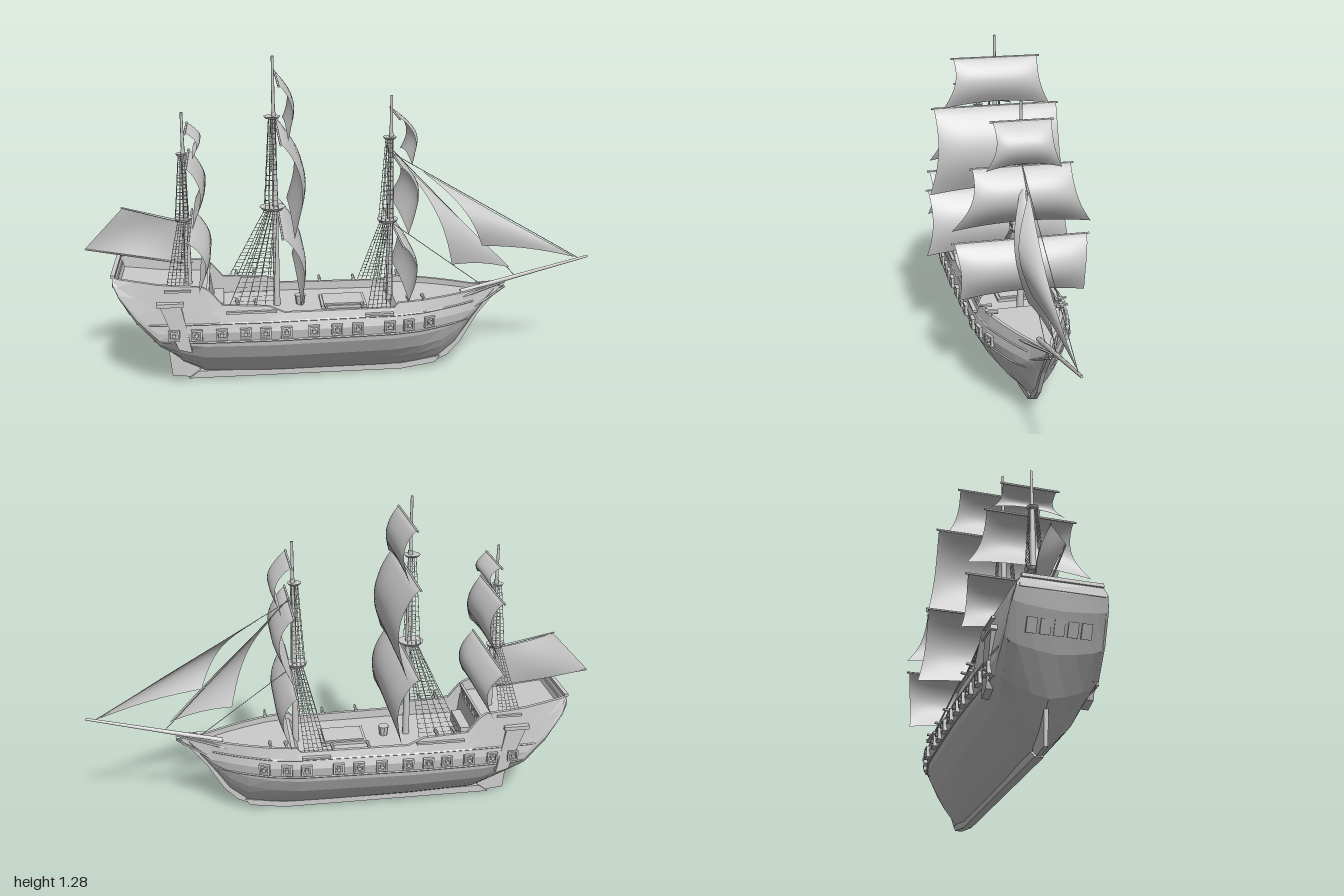
import * as THREE from 'three';
import { ParametricGeometry } from 'three/addons/geometries/ParametricGeometry.js';
import { mergeGeometries } from 'three/addons/utils/BufferGeometryUtils.js';

const flat = new THREE.MeshStandardMaterial({ color: 0xcccccc, flatShading: true });
const smooth = new THREE.MeshStandardMaterial({ color: 0xcccccc });
const cloth = new THREE.MeshStandardMaterial({ color: 0xcccccc, side: THREE.DoubleSide });
const V = (x, y, z) => new THREE.Vector3(x, y, z);
const { lerp, clamp } = THREE.MathUtils;

// hull stations: x, keel y, rail y, half breadth
const stations = [
  [-0.88, 0.445, 0.485, 0.15], [-0.862, 0.39, 0.48, 0.158], [-0.80, 0.27, 0.47, 0.166],
  [-0.72, 0.155, 0.457, 0.174], [-0.64, 0.07, 0.45, 0.18], [-0.55, 0.025, 0.445, 0.184],
  [-0.525, 0.022, 0.43, 0.185], [-0.515, 0.022, 0.42, 0.185], [-0.475, 0.02, 0.37, 0.187],
  [-0.3, 0.013, 0.36, 0.19], [-0.24, 0.012, 0.332, 0.19], [0.185, 0.012, 0.33, 0.18],
  [0.2, 0.013, 0.348, 0.178], [0.3, 0.02, 0.347, 0.158], [0.39, 0.04, 0.346, 0.122],
  [0.46, 0.1, 0.345, 0.088], [0.53, 0.21, 0.344, 0.048], [0.62, 0.335, 0.35, 0.008]];

function stationAt(x) {
  let i = 0;
  while (i < stations.length - 2 && stations[i + 1][0] < x) i++;
  const a = stations[i], b = stations[i + 1];
  const t = clamp((x - a[0]) / (b[0] - a[0]), 0, 1);
  const [, keel, rail, wide] = a.map((v, k) => lerp(v, b[k], t));
  const level = x < -0.52 ? rail - 0.045 : x < 0.19 ? 0.298 : 0.323;
  return {
    keel, rail, wide, railWide: wide * 0.9,
    wideY: Math.max(0.265, lerp(keel, rail, 0.35)),
    fullness: x < 0 ? 2 + 2 * clamp((-0.64 - x) / 0.16, 0, 1) : 2 - 0.8 * x,
    deck: x < -0.87 ? rail - 0.001 : Math.min(level, rail - 0.001),
  };
}
function halfBreadth(x, y) {
  const s = stationAt(x);
  if (y >= s.wideY) return lerp(s.wide, s.railWide, Math.min(1, (y - s.wideY) / (s.rail - s.wideY)));
  return s.wide * (1 - Math.pow(1 - Math.max(0, (y - s.keel) / (s.wideY - s.keel)), s.fullness));
}

// closed loft: outer planking, rail cap, inner bulwark and deck
function hullGeometry() {
  const rings = stations.map(([x]) => {
    const s = stationAt(x);
    const side = [0, 0.12, 0.3, 0.5, 0.75, 1].map(t => lerp(s.keel, s.wideY, t))
      .concat((s.wideY + s.rail) / 2, s.rail).map(y => [halfBreadth(x, y), y]);
    const inner = Math.max(0.002, s.railWide - 0.014);
    side.push([inner, s.rail], [inner, s.deck], [0, s.deck]);
    const mirror = side.slice(1, -1).reverse().map(([z, y]) => [-z, y]);
    return side.concat(mirror).map(([z, y]) => V(x, y, z));
  });
  const n = rings[0].length, pos = [];
  const tri = (...ps) => ps.forEach(p => pos.push(p.x, p.y, p.z));
  for (let i = 0; i < rings.length - 1; i++) for (let j = 0; j < n; j++) {
    const k = (j + 1) % n, a = rings[i][j], b = rings[i + 1][j], c = rings[i + 1][k], d = rings[i][k];
    tri(a, b, c); tri(a, c, d);
  }
  const sternMid = V(-0.882, 0.465, 0), bowMid = V(0.622, 0.342, 0);
  for (let j = 0; j < n; j++) {
    const k = (j + 1) % n;
    tri(sternMid, rings[0][j], rings[0][k]);
    tri(bowMid, rings.at(-1)[k], rings.at(-1)[j]);
  }
  const g = new THREE.BufferGeometry();
  g.setAttribute('position', new THREE.Float32BufferAttribute(pos, 3));
  g.computeVertexNormals();
  return g;
}

function rodGeometry(a, b, r0, r1 = r0, sides = 8) {
  const g = new THREE.CylinderGeometry(r1, r0, a.distanceTo(b), sides);
  g.applyQuaternion(new THREE.Quaternion().setFromUnitVectors(V(0, 1, 0), b.clone().sub(a).normalize()));
  return g.translate((a.x + b.x) / 2, (a.y + b.y) / 2, (a.z + b.z) / 2);
}

export function createModel() {
  const ship = new THREE.Group();
  ship.name = 'sailingShip';
  const add = (name, geo, mat = flat, parent = ship) => {
    const m = new THREE.Mesh(geo, mat);
    m.name = name;
    parent.add(m);
    return m;
  };
  const box = (name, w, h, d, x, y, z, parent = ship) => {
    const m = add(name, new THREE.BoxGeometry(w, h, d), flat, parent);
    m.position.set(x, y, z);
    return m;
  };
  const plate = (name, pts, depth, z) => {
    const shape = new THREE.Shape(pts.map(p => new THREE.Vector2(...p)));
    add(name, new THREE.ExtrudeGeometry(shape, { depth, bevelEnabled: false })).position.z = z;
  };

  // hull, keel, stem and rudder
  add('hull', hullGeometry());
  plate('keel', [[-0.62, 0], [0.24, 0], [0.38, 0.022], [0.4, 0.05], [0.24, 0.025], [-0.58, 0.03]], 0.03, -0.015);
  plate('stem', [[0.37, 0.022], [0.43, 0.05], [0.485, 0.11], [0.55, 0.225], [0.645, 0.345],
    [0.6, 0.345], [0.52, 0.21], [0.45, 0.1], [0.38, 0.045]], 0.016, -0.008);
  plate('rudder', [[-0.685, 0.012], [-0.57, 0], [-0.58, 0.06], [-0.7, 0.16]], 0.014, -0.007);

  for (const s of [1, -1]) {
    // wales along the planking
    for (const [y, x0, x1] of [[0.225, -0.74, 0.5], [0.3, -0.8, 0.52]]) {
      const pts = [];
      for (let i = 0; i <= 24; i++) {
        const x = lerp(x0, x1, i / 24);
        pts.push(V(x, y, s * halfBreadth(x, y)));
      }
      add('wale', new THREE.TubeGeometry(new THREE.CatmullRomCurve3(pts), 48, 0.0035, 4));
    }
    // gun ports with frame and muzzle
    for (const x of [-0.66, -0.575, -0.48, -0.39, -0.315, -0.235, -0.13, -0.04, 0.04, 0.165, 0.24, 0.325]) {
      const port = new THREE.Group();
      port.name = 'gunPort';
      const slope = (halfBreadth(x + 0.02, 0.26) - halfBreadth(x - 0.02, 0.26)) / 0.04;
      port.position.set(x, 0.26, s * halfBreadth(x, 0.26));
      port.rotation.y = -s * Math.atan(slope);
      for (const k of [-1, 1]) {
        box('portFrame', 0.042, 0.007, 0.02, 0, k * 0.018, 0, port);
        box('portFrame', 0.007, 0.042, 0.02, k * 0.018, 0, 0, port);
      }
      add('cannon', new THREE.CylinderGeometry(0.008, 0.008, 0.03, 8), flat, port).rotation.x = Math.PI / 2;
      ship.add(port);
    }
    // quarter gallery
    plate('quarterGallery', [[-0.71, 0.38], [-0.645, 0.2], [-0.595, 0.185], [-0.63, 0.38]], 0.035, s > 0 ? 0.146 : -0.181);
    box('galleryCap', 0.1, 0.015, 0.04, -0.67, 0.382, s * 0.167);
    // head rails beside the stem
    for (const [y0, z0, y1] of [[0.325, 0.07, 0.36], [0.24, 0.06, 0.34]])
      add('headRail', rodGeometry(V(0.47, y0, s * z0), V(0.66, y1, s * 0.006), 0.006, 0.004, 5));
    // swivel guns on the rail
    for (const x of [-0.42, -0.35, -0.08, 0.06, 0.24, 0.3]) {
      const { rail, railWide: w } = stationAt(x);
      add('swivelGun', rodGeometry(V(x, rail + 0.012, s * (w - 0.03)), V(x, rail + 0.016, s * (w + 0.015)), 0.008, 0.005, 6));
      add('swivelPost', rodGeometry(V(x, rail - 0.005, s * (w - 0.007)), V(x, rail + 0.012, s * (w - 0.007)), 0.003, 0.003, 5));
    }
  }

  // stern windows and mouldings
  for (let i = -2; i <= 2; i++) box('sternWindow', 0.014, 0.05, 0.034, -0.834, 0.345, i * 0.045).rotation.z = 0.45;
  box('sternMoulding', 0.016, 0.012, 0.28, -0.875, 0.455, 0);
  box('sternRail', 0.016, 0.012, 0.27, -0.88, 0.487, 0);

  // deck fittings
  box('hatch', 0.18, 0.014, 0.13, 0, 0.302, 0);
  box('hatchCover', 0.16, 0.01, 0.11, 0, 0.31, 0);
  box('companionway', 0.04, 0.05, 0.16, -0.49, 0.32, 0);
  box('deckRail', 0.01, 0.01, 0.31, -0.528, 0.425, 0);
  for (let i = -5; i <= 5; i++) box('railPost', 0.005, 0.04, 0.005, -0.528, 0.405, i * 0.027);
  add('capstan', new THREE.CylinderGeometry(0.022, 0.016, 0.04, 8)).position.set(-0.17, 0.317, 0);

  // square sail bellying forward below its yard
  const sail = (x, yTop, yBot, wTop, wBot, belly, drift) => {
    add('squareSail', new ParametricGeometry((u, v, p) => {
      const a = u * 2 - 1, half = lerp(wTop, wBot, Math.pow(v, 1.6)) - 0.012 * Math.sin(Math.PI * v);
      p.set(x + drift * v + belly * Math.sin(Math.PI * Math.pow(v, 0.85)) * (1 - 0.3 * a ** 4),
        lerp(yTop, yBot, v) + 0.02 * v * v * (1 - a * a), a * half);
    }, 16, 14), cloth);
    add('yard', rodGeometry(V(x - 0.004, yTop, -wTop - 0.01), V(x - 0.004, yTop, wTop + 0.01), 0.004), smooth);
  };

  // masts: foot, head, tops t1 and t2, shroud feet sx/sy/sz, top radius r
  // sails: top y, foot y, half widths at top and foot, belly, forward drift
  const masts = [
    { n: 'mizzen', x: -0.605, foot: 0.38, head: 1.08, t1: 0.665, t2: 0.92, sx: [-0.68, -0.6], sy: 0.452, sz: 0.155, r: 0.035,
      sails: [[1.02, 0.93, 0.1, 0.14, 0.04, 0.02], [0.9, 0.69, 0.16, 0.225, 0.055, 0.015], [0.635, 0.45, 0.225, 0.24, 0.06, 0.03]] },
    { n: 'main', x: -0.262, foot: 0.28, head: 1.285, t1: 0.7, t2: 1.055, sx: [-0.45, -0.28], sy: 0.362, sz: 0.167, r: 0.05,
      sails: [[1.2, 1.01, 0.168, 0.215, 0.045, 0.025], [1.005, 0.66, 0.25, 0.28, 0.075, 0.04], [0.665, 0.405, 0.282, 0.302, 0.06, 0.06]] },
    { n: 'fore', x: 0.188, foot: 0.28, head: 1.13, t1: 0.635, t2: 0.965, sx: [0.08, 0.17], sy: 0.331, sz: 0.165, r: 0.042,
      sails: [[1.06, 0.89, 0.108, 0.142, 0.055, 0.04], [0.89, 0.66, 0.185, 0.265, 0.07, 0.01], [0.605, 0.385, 0.255, 0.243, 0.058, 0.02]] }];

  for (const m of masts) {
    add(m.n + 'Mast', rodGeometry(V(m.x, m.foot, 0), V(m.x, m.t2 + 0.02, 0), 0.014, 0.009, 10), smooth);
    add(m.n + 'Topmast', rodGeometry(V(m.x, m.t2, 0), V(m.x, m.head, 0), 0.007, 0.005), smooth);
    add(m.n + 'Top', new THREE.CylinderGeometry(m.r, m.r * 0.8, 0.012, 12)).position.set(m.x - 0.01, m.t1, 0);
    add(m.n + 'UpperTop', new THREE.CylinderGeometry(m.r * 0.65, m.r * 0.5, 0.008, 10)).position.set(m.x - 0.006, m.t2, 0);
    for (const s of m.sails) sail(m.x + 0.018, ...s);

    // shrouds and ratlines on both sides, lower and upper
    const ropes = [];
    const web = (foot, head, count, rungs) => {
      for (let i = 0; i < count; i++) ropes.push(rodGeometry(foot(i / (count - 1)), head(i / (count - 1)), 0.0014, 0.0014, 3));
      for (let j = 1; j < rungs; j++) {
        const t = j / rungs;
        ropes.push(rodGeometry(foot(0).lerp(head(0), t), foot(1).lerp(head(1), t), 0.001, 0.001, 3));
      }
    };
    for (const s of [1, -1]) {
      web(k => V(lerp(...m.sx, k), m.sy, s * m.sz), k => V(m.x + lerp(-0.03, 0.005, k), m.t1, s * m.r * 0.7), 6, 20);
      web(k => V(m.x + lerp(-0.04, 0.01, k), m.t1, s * m.r * 0.8), k => V(m.x + lerp(-0.018, 0.004, k), m.t2, s * m.r * 0.35), 4, 18);
      box('channel', m.sx[1] - m.sx[0] + 0.02, 0.008, 0.025, (m.sx[0] + m.sx[1]) / 2, m.sy - 0.02, s * (m.sz + 0.006));
    }
    add(m.n + 'Shrouds', mergeGeometries(ropes));
  }

  // bowsprit and stays
  add('bowsprit', rodGeometry(V(0.48, 0.322, 0), V(1, 0.455, 0), 0.011, 0.005), smooth);
  for (const [a, b] of [[V(0.2, 0.62, 0), V(0.57, 0.345, 0)], [V(0.2, 0.91, 0), V(0.7, 0.385, 0)], [V(0.2, 0.9, 0), V(0.96, 0.45, 0)]])
    add('stay', rodGeometry(a, b, 0.0014, 0.0014, 4));

  // triangular head sails, bellying to the front side
  const jib = (peak, tack, clew) => add('jib', new ParametricGeometry((u, v, p) => {
    p.copy(peak).lerp(tack.clone().lerp(clew, u), v);
    const pull = 0.03 * Math.sin(Math.PI * v) * u;
    p.x += pull;
    p.y += pull * 0.5 + 0.012 * Math.sin(Math.PI * u) * v;
    p.z += 0.05 * Math.sin(Math.PI * Math.pow(v, 1.2)) * (0.35 + 0.65 * u);
  }, 10, 14), cloth);
  jib(V(0.22, 0.88, 0), V(0.68, 0.418, 0), V(0.435, 0.45, 0.03));
  jib(V(0.31, 0.83, 0), V(0.95, 0.452, 0), V(0.55, 0.53, 0.045));

  // fore-and-aft sail behind the mizzen mast with gaff and boom
  add('spanker', new ParametricGeometry((u, v, p) => {
    const top = V(-0.615, 0.65, 0).lerp(V(-0.845, 0.71, -0.02), u);
    p.copy(top).lerp(V(-0.63, 0.485, 0).lerp(V(-1, 0.545, -0.03), u), v);
    p.z -= 0.025 * Math.sin(Math.PI * u) * Math.sin(Math.PI * (0.15 + 0.7 * v));
  }, 12, 10), cloth);
  add('gaff', rodGeometry(V(-0.605, 0.65, 0), V(-0.85, 0.712, -0.02), 0.005, 0.003), smooth);
  add('boom', rodGeometry(V(-0.605, 0.482, 0), V(-0.995, 0.545, -0.03), 0.004, 0.003), smooth);
  return ship;
}
